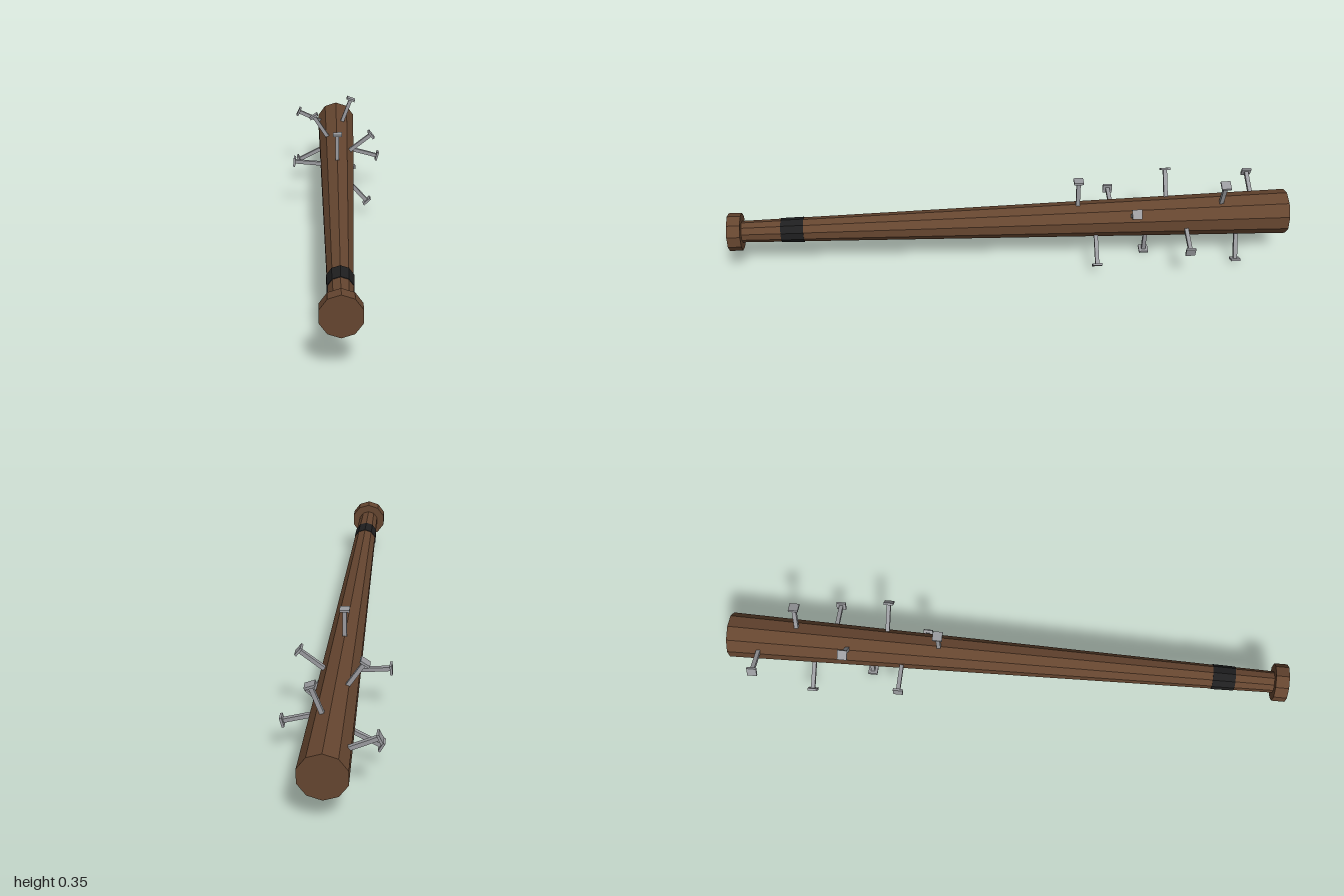
import * as THREE from 'three';

const AXIS_X = -0.0015, AXIS_Y = 0.178, SIDES = 10;

export function createModel() {
  const model = new THREE.Group();
  model.name = 'spikedBat';
  const mat = (name, color) => {
    const m = new THREE.MeshStandardMaterial({ color });
    m.name = name;
    m.flatShading = true;
    return m;
  };
  const wood = mat('wood', 0x664630);
  const tape = mat('tape', 0x1f1f20);
  const steel = mat('steel', 0x9b9ca0);

  // Bat radius along its length
  const radiusAt = (z) => 0.038 + (0.955 - z) / 1.955 * 0.042;

  // Ten-sided section lying along z
  const section = (name, zFront, zBack, rFront, rBack, material) => {
    const geo = new THREE.CylinderGeometry(rFront, rBack, zFront - zBack, SIDES);
    geo.rotateX(Math.PI / 2);
    const mesh = new THREE.Mesh(geo, material);
    mesh.name = name;
    mesh.position.set(AXIS_X, AXIS_Y, (zFront + zBack) / 2);
    model.add(mesh);
  };
  section('barrel', 0.955, -1, radiusAt(0.955), radiusAt(-1), wood);
  section('knob', 1, 0.953, 0.067, 0.067, wood);
  section('gripTape', 0.815, 0.735, radiusAt(0.815) + 0.002, radiusAt(0.735) + 0.002, tape);

  // Nails: angle around the bat in degrees, z, distance of the head from the axis
  const nails = [
    [90, -0.243, 0.165], [69.5, -0.757, 0.176], [38, -0.435, 0.173],
    [-15, -0.63, 0.175], [-47.5, -0.307, 0.173], [-67.5, -0.822, 0.178],
    [-100, -0.498, 0.177], [-152.5, -0.693, 0.177], [175, -0.373, 0.17],
    [155.5, -0.887, 0.178], [123, -0.567, 0.172],
  ];
  const headThickness = 0.008;
  for (const [angle, z, reach] of nails) {
    const nail = new THREE.Group();
    nail.name = 'nail';
    const start = radiusAt(z) - 0.02;
    const shaft = new THREE.Mesh(new THREE.BoxGeometry(0.014, reach - headThickness - start, 0.014), steel);
    shaft.name = 'nailShaft';
    shaft.position.y = (start + reach - headThickness) / 2;
    const head = new THREE.Mesh(new THREE.BoxGeometry(0.034, headThickness, 0.034), steel);
    head.name = 'nailHead';
    head.position.y = reach - headThickness / 2;
    nail.add(shaft, head);
    nail.position.set(AXIS_X, AXIS_Y, z);
    nail.rotation.z = THREE.MathUtils.degToRad(angle - 90);
    model.add(nail);
  }
  return model;
}
